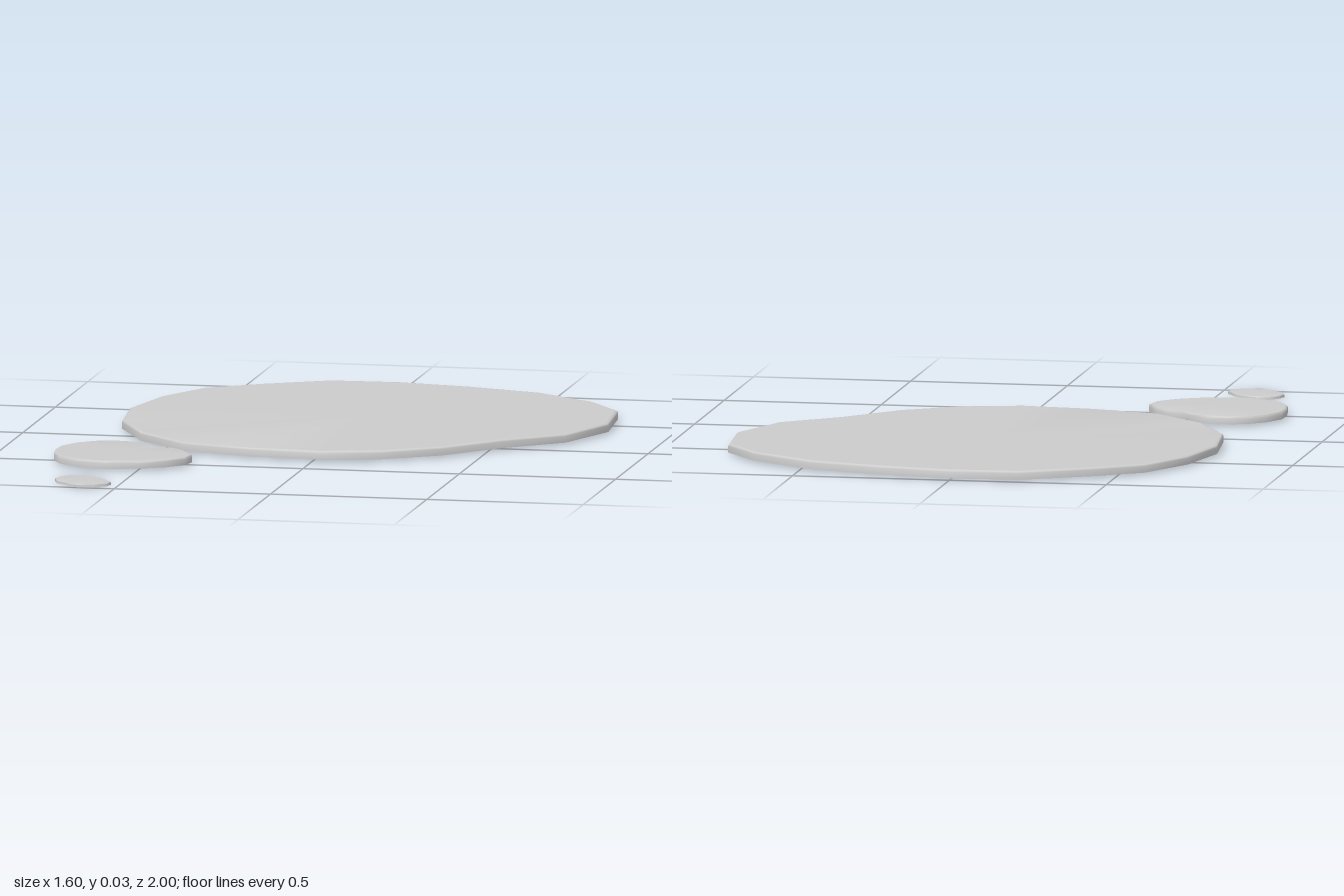
import * as THREE from 'three';
import { toCreasedNormals } from 'three/addons/utils/BufferGeometryUtils.js';

const material = new THREE.MeshStandardMaterial({ color: 0xcccccc });

// Flat pool of liquid: the outline (x, z pairs, clockwise from above) is
// stacked in rings with a softly rounded upper rim, then capped.
function createPool(name, outline, bottom, top, round) {
  const n = outline.length;
  const cx = outline.reduce((s, p) => s + p[0], 0) / n;
  const cz = outline.reduce((s, p) => s + p[1], 0) / n;
  const rings = [ // [inset, height]
    [0, bottom], [0, top - round], [round * 0.3, top - round * 0.3], [round, top], [round * 2, top],
  ];
  const positions = [];
  for (const [inset, y] of rings) {
    for (const [x, z] of outline) {
      const k = 1 - inset / Math.hypot(x - cx, z - cz);
      positions.push(cx + (x - cx) * k, y, cz + (z - cz) * k);
    }
  }
  positions.push(cx, bottom, cz, cx, top, cz);

  const index = [];
  const last = (rings.length - 1) * n;
  const centre = rings.length * n;
  for (let i = 0; i < n; i++) {
    const j = (i + 1) % n;
    for (let r = 0; r < last; r += n) {
      index.push(r + j, r + i, r + n + i, r + j, r + n + i, r + n + j);
    }
    index.push(centre, i, j); // underside
    index.push(centre + 1, last + j, last + i); // surface
  }
  const geometry = new THREE.BufferGeometry();
  geometry.setAttribute('position', new THREE.Float32BufferAttribute(positions, 3));
  geometry.setIndex(index);
  const mesh = new THREE.Mesh(toCreasedNormals(geometry, 0.9), material);
  mesh.name = name;
  return mesh;
}

export function createModel() {
  const group = new THREE.Group();
  group.name = 'puddle';

  group.add(createPool('mainPool', [
    [0, -1], [0.23, -0.96], [0.47, -0.89], [0.67, -0.75], [0.78, -0.6],
    [0.8, -0.35], [0.71, -0.12], [0.54, 0.02], [0.38, 0.2], [0.21, 0.31],
    [0.02, 0.36], [-0.21, 0.335], [-0.43, 0.275], [-0.6, 0.11], [-0.705, -0.105],
    [-0.73, -0.345], [-0.68, -0.58], [-0.58, -0.77], [-0.42, -0.88], [-0.22, -0.99],
  ], 0.006, 0.033, 0.007));

  group.add(createPool('mediumPool', [
    [-0.66, 0.265], [-0.585, 0.275], [-0.53, 0.307], [-0.495, 0.354], [-0.437, 0.37],
    [-0.394, 0.413], [-0.357, 0.487], [-0.368, 0.54], [-0.42, 0.598], [-0.495, 0.64],
    [-0.6, 0.667], [-0.66, 0.659], [-0.706, 0.635], [-0.76, 0.593], [-0.79, 0.534],
    [-0.8, 0.466], [-0.796, 0.397], [-0.76, 0.328], [-0.712, 0.286],
  ], 0.006, 0.031, 0.007));

  group.add(createPool('smallDrop', [
    [-0.643, 0.825], [-0.606, 0.836], [-0.563, 0.868], [-0.526, 0.926], [-0.532, 0.958],
    [-0.569, 0.984], [-0.616, 1], [-0.648, 0.974], [-0.67, 0.953], [-0.696, 0.937],
    [-0.712, 0.889], [-0.701, 0.852], [-0.675, 0.828],
  ], 0, 0.01, 0.003));

  return group;
}
